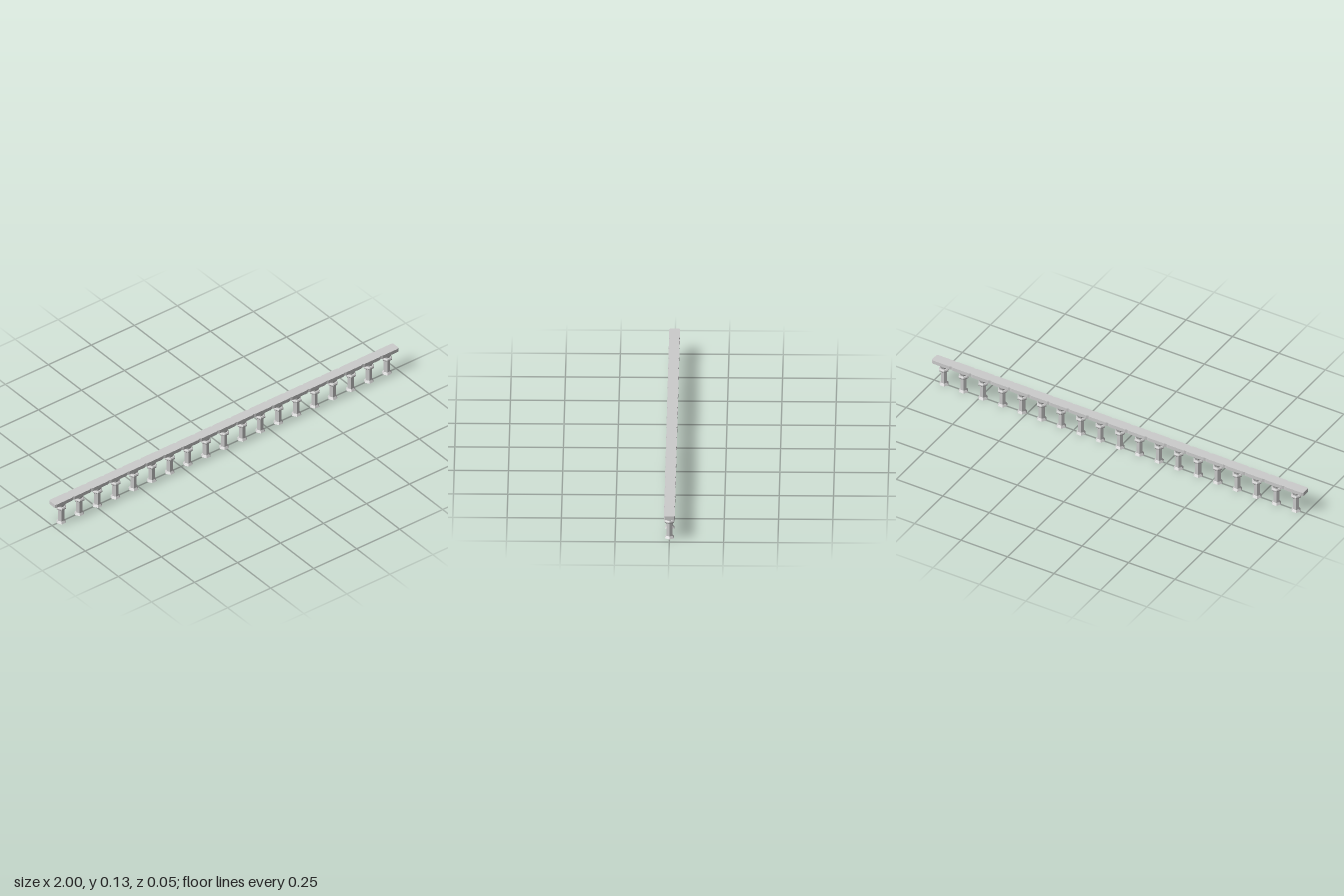
import * as THREE from 'three';

const COUNT = 19;
const PITCH = 2 / COUNT;
const SIDES = 6;

export function createModel() {
  const group = new THREE.Group();
  group.name = 'balustrade';
  const material = new THREE.MeshStandardMaterial({ color: 0xcccccc, flatShading: true });

  // Six-sided turned piece with corners towards +x and -x; profile is [radius, y]
  const turned = (profile) => {
    const points = profile.map(([r, y]) => new THREE.Vector2(r, y));
    return new THREE.LatheGeometry(points, SIDES, Math.PI / 2);
  };

  // Rail block with clipped corners in plan
  const hx = PITCH / 2, hz = 0.025, cx = 0.01, cz = 0.004;
  const plan = new THREE.Shape([
    [hx, hz - cz], [hx - cx, hz], [cx - hx, hz], [-hx, hz - cz],
    [-hx, cz - hz], [cx - hx, -hz], [hx - cx, -hz], [hx, cz - hz],
  ].map(([x, z]) => new THREE.Vector2(x, z)));
  const railBlock = new THREE.ExtrudeGeometry(plan, { depth: 0.018, bevelEnabled: false });
  railBlock.rotateX(-Math.PI / 2).translate(0, 0.112, 0);

  const parts = {
    foot: turned([[0, 0], [0.0245, 0], [0.016, 0.011]]),
    shaft: turned([[0.016, 0.011], [0.016, 0.08]]),
    collar: turned([
      [0.016, 0.077], [0.022, 0.077], [0.0255, 0.081],
      [0.0255, 0.086], [0.022, 0.091], [0.0145, 0.091],
    ]),
    capital: turned([[0.0145, 0.091], [0.0245, 0.112]]),
    railBlock,
  };

  // Row of identical bays
  for (let i = 0; i < COUNT; i++) {
    const bay = new THREE.Group();
    bay.name = `baluster${i + 1}`;
    bay.position.x = (i - (COUNT - 1) / 2) * PITCH;
    for (const [name, geometry] of Object.entries(parts)) {
      const mesh = new THREE.Mesh(geometry, material);
      mesh.name = name;
      bay.add(mesh);
    }
    group.add(bay);
  }
  return group;
}
